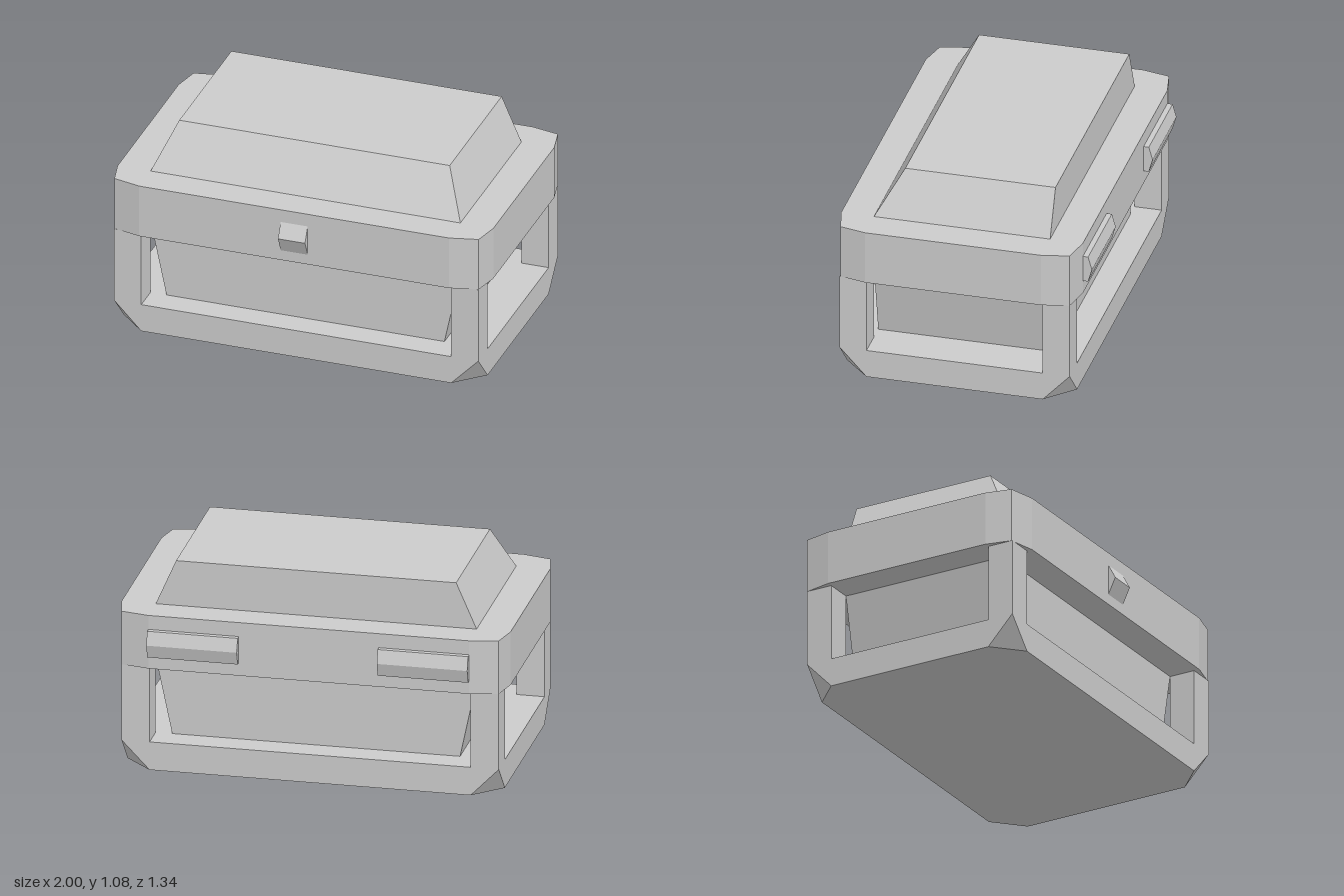
import * as THREE from 'three';
import { ConvexGeometry } from 'three/addons/geometries/ConvexGeometry.js';

export function createModel() {
  const chest = new THREE.Group();
  chest.name = 'chest';
  const material = new THREE.MeshStandardMaterial({ color: 0xcccccc, flatShading: true });

  const add = (name, geometry) => {
    const mesh = new THREE.Mesh(geometry, material);
    mesh.name = name;
    chest.add(mesh);
    return mesh;
  };
  const hull = (name, points) =>
    add(name, new ConvexGeometry(points.map((p) => new THREE.Vector3(...p))));
  // Corners of a horizontal rectangle
  const rect = (x, y, front, back) => [[-x, y, front], [x, y, front], [x, y, back], [-x, y, back]];
  // Prism along x from a (z, y) profile
  const bar = (name, x0, x1, profile) =>
    hull(name, profile.flatMap(([z, y]) => [[x0, y, z], [x1, y, z]]));

  const X = 0.97, FRONT = 0.6, BACK = -0.595;     // outer frame
  const IX = 0.825, IFRONT = 0.46, IBACK = -0.455; // inner box
  const BASE = 0.15, RIM = 0.555, TOP = 0.84;

  // Base tray with the four bottom corners cut off
  hull('base', [
    ...rect(X, BASE, FRONT, BACK),
    ...rect(IX, 0, FRONT, BACK),
    ...rect(X, 0, IFRONT, IBACK),
  ]);

  // Corner posts
  for (const [side, sx] of [['left', 1], ['right', -1]]) {
    for (const [end, z0, z1] of [['Front', IFRONT, FRONT], ['Back', BACK, IBACK]]) {
      const post = add(`${side}${end}Post`, new THREE.BoxGeometry(X - IX, RIM - BASE, z1 - z0));
      post.position.set(sx * (X + IX) / 2, (BASE + RIM) / 2, (z0 + z1) / 2);
    }
  }

  // Inner box, narrowing downwards at the two ends
  hull('innerBox', [...rect(0.74, BASE, IFRONT, IBACK), ...rect(IX, RIM, IFRONT, IBACK)]);

  // Wide band around the rim, with bevelled corners
  hull('rimBand', [RIM, TOP].flatMap((y) => [
    ...rect(IX, y, 0.63, -0.625),
    ...rect(X, y, FRONT - 0.005, BACK),
    ...rect(1, y, IFRONT, IBACK),
  ]));

  // Lid with sloping front and ends and an upright back
  hull('lid', [...rect(IX, TOP, IFRONT, IBACK), ...rect(0.72, 1.08, 0.325, IBACK)]);

  // Front latch
  bar('latch', -0.072, 0.072, [[0.62, 0.79], [0.67, 0.695], [0.63, 0.61], [0.62, 0.61]]);

  // Back hinges
  const hinge = [[-0.62, 0.765], [-0.652, 0.765], [-0.672, 0.695], [-0.652, 0.625], [-0.62, 0.625]];
  bar('leftHinge', 0.36, IX, hinge);
  bar('rightHinge', -IX, -0.36, hinge);

  return chest;
}
